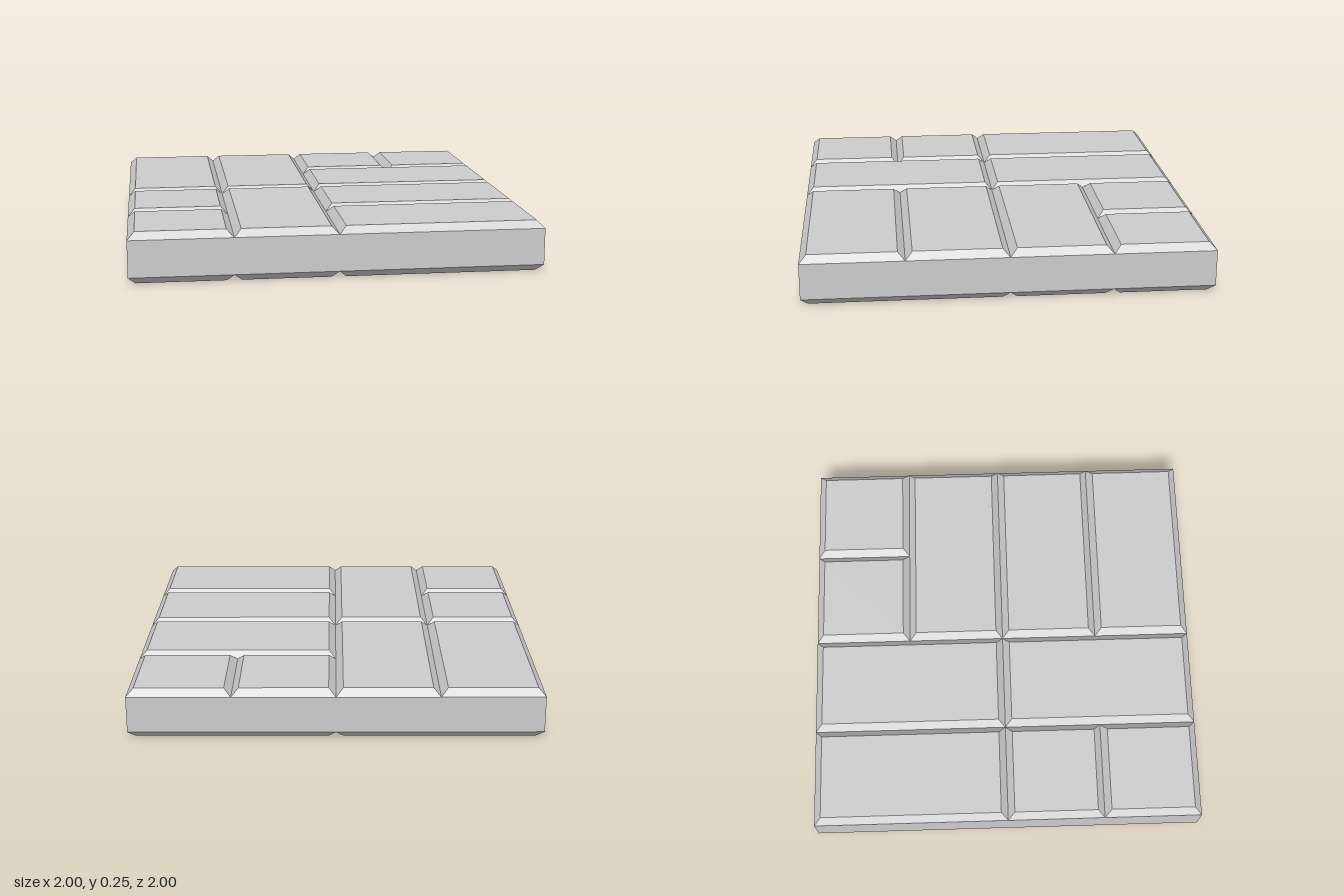
import * as THREE from 'three';

const HEIGHT = 0.25, BEVEL = 0.035;

// Panel rectangles: [xMin, xMax, zMin, zMax]
const TOP_PANELS = [
  [-1, -0.5, -1, 0], [-0.5, 0, -1, 0],
  [0, 0.5, -1, -0.5], [0.5, 1, -1, -0.5], [0, 1, -0.5, 0],
  [-1, -0.5, 0, 0.5], [-1, -0.5, 0.5, 1], [-0.5, 0, 0, 1],
  [0, 1, 0, 0.5], [0, 1, 0.5, 1],
];
const BOTTOM_PANELS = [
  [-1, 0, -1, 0],
  [0, 1, -1, -0.5], [0, 1, -0.5, 0],
  [-1, -0.5, 0, 1], [-0.5, 0, 0, 1],
  [0, 1, 0, 1],
];

// Corner loop of a rectangle, anticlockwise seen from above
function ring([x0, x1, z0, z1], y, inset) {
  const a = x0 + inset, b = x1 - inset, c = z0 + inset, d = z1 - inset;
  return [[a, y, d], [b, y, d], [b, y, c], [a, y, c]];
}

// Four walls from the base loop to the end loop, optionally closed at the end
function frustum(rect, yBase, yEnd, inset, capped) {
  const base = ring(rect, yBase, 0), end = ring(rect, yEnd, inset);
  const quads = base.map((p, i) => {
    const j = (i + 1) % 4;
    return [p, base[j], end[j], end[i]];
  });
  if (capped) quads.push(end);
  const flip = yEnd < yBase;
  const positions = quads.flatMap((q) => {
    const [a, b, c, d] = flip ? [...q].reverse() : q;
    return [a, b, c, a, c, d].flat();
  });
  const geometry = new THREE.BufferGeometry();
  geometry.setAttribute('position', new THREE.Float32BufferAttribute(positions, 3));
  geometry.computeVertexNormals();
  return geometry;
}

export function createModel() {
  const model = new THREE.Group();
  model.name = 'pavedFloorTile';
  const material = new THREE.MeshStandardMaterial({ color: 0xcccccc, flatShading: true });

  const add = (name, geometry) => {
    const mesh = new THREE.Mesh(geometry, material);
    mesh.name = name;
    model.add(mesh);
  };

  // Outer walls of the slab
  add('slabWalls', frustum([-1, 1, -1, 1], BEVEL, HEIGHT - BEVEL, 0, false));

  // Bevelled paving stones above and below, meeting in V-grooves
  TOP_PANELS.forEach((r, i) =>
    add(`topStone${i + 1}`, frustum(r, HEIGHT - BEVEL, HEIGHT, BEVEL, true)));
  BOTTOM_PANELS.forEach((r, i) =>
    add(`bottomStone${i + 1}`, frustum(r, BEVEL, 0, BEVEL, true)));

  return model;
}
